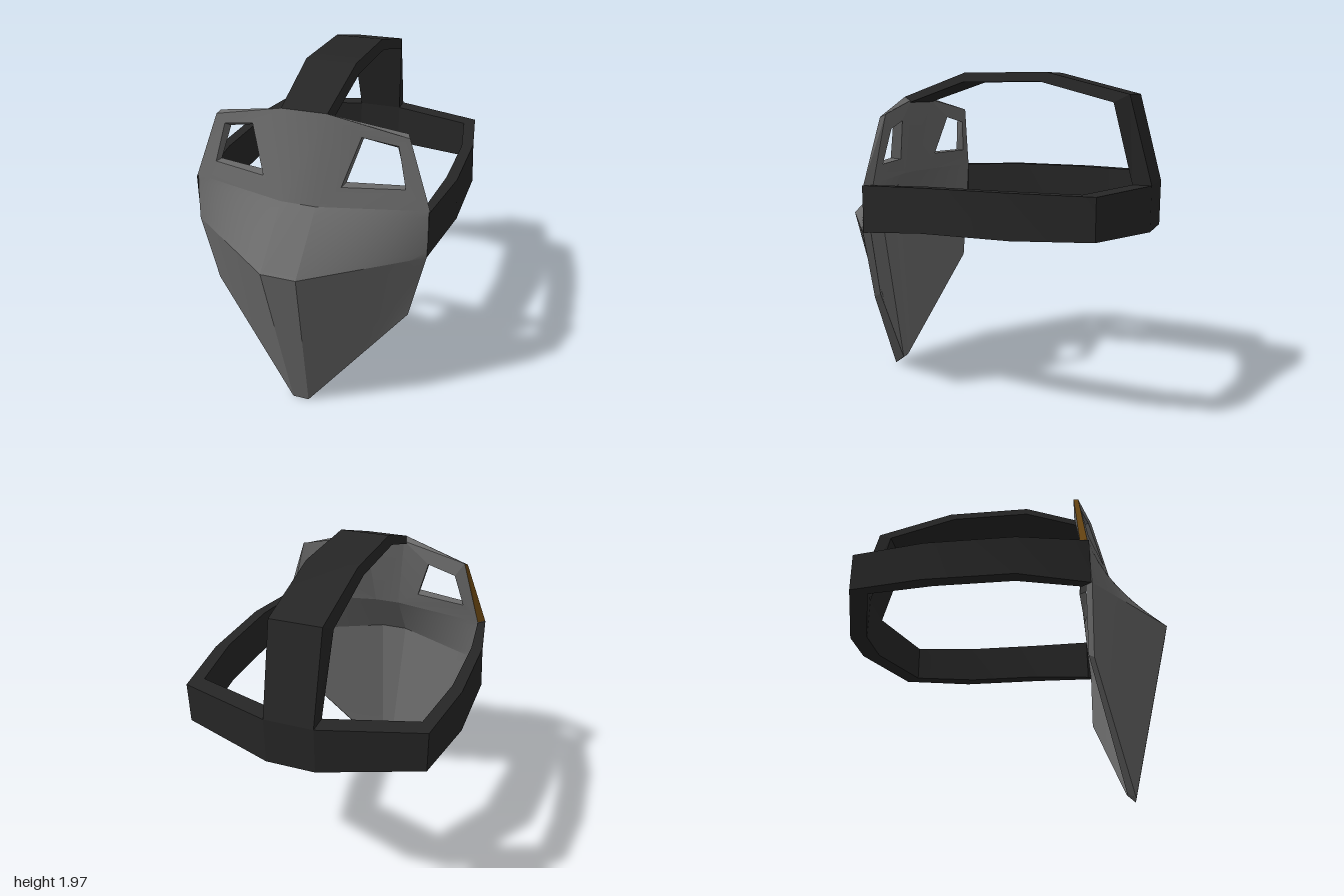
import * as THREE from 'three';
import { toCreasedNormals } from 'three/addons/utils/BufferGeometryUtils.js';

const mirror = ([x, y, z]) => [-x, y, z];
const lerp = (a, b, t) => a.map((v, i) => v + (b[i] - v) * t);

// Collects polygons (fan triangulated, counter-clockwise from outside)
class Faces {
  constructor() { this.pos = []; }
  add(...p) {
    for (let i = 1; i < p.length - 1; i++) this.pos.push(...p[0], ...p[i], ...p[i + 1]);
  }
  both(...p) {
    this.add(...p);
    this.add(...p.map(mirror).reverse());
  }
  // twisted four-sided panel a-b-c-d, divided so that it curves softly
  patch(a, b, c, d, n = 8) {
    const at = (u, v) => lerp(lerp(a, b, u / n), lerp(d, c, u / n), v / n);
    for (let i = 0; i < n; i++) {
      for (let j = 0; j < n; j++) this.both(at(i, j), at(i + 1, j), at(i + 1, j + 1), at(i, j + 1));
    }
  }
  mesh(name, color) {
    const g = new THREE.BufferGeometry();
    g.setAttribute('position', new THREE.Float32BufferAttribute(this.pos, 3));
    const m = new THREE.Mesh(toCreasedNormals(g, 0.25), new THREE.MeshStandardMaterial({ color }));
    m.name = name;
    return m;
  }
}

// Joins four-cornered cross-sections into a closed strap
function loft(name, sections, color) {
  const f = new Faces();
  for (let i = 0; i < sections.length - 1; i++) {
    const a = sections[i], b = sections[i + 1];
    for (let j = 0; j < 4; j++) {
      const k = (j + 1) % 4;
      f.add(a[j], a[k], b[k], b[j]);
    }
  }
  const s = sections[0];
  f.add(s[0], s[3], s[2], s[1]);
  f.add(...sections[sections.length - 1]);
  return f.mesh(name, color);
}

// Left half of the mask, outer and inner skins
const outer = {
  top: [0.13, 1.82, 0.575], temple: [0.555, 1.71, 0.5], cheek: [0.69, 1.33, 0.54],
  side: [0.69, 1.05, 0.555], jaw: [0.6, 0.64, 0.545], chin: [0.05, 0, 0.74],
  brow: [0.1, 1.33, 0.69], nose: [0.1, 1.05, 1],
};
const inner = {
  top: [0.13, 1.8, 0.53], temple: [0.54, 1.725, 0.472], cheek: [0.65, 1.33, 0.5],
  side: [0.66, 1.05, 0.52], jaw: [0.585, 0.66, 0.515], chin: [0.03, 0.04, 0.69],
  brow: [0.08, 1.33, 0.615], nose: [0.085, 1.05, 0.8],
};
const outerEye = [[0.225, 1.44], [0.555, 1.44], [0.5, 1.665], [0.31, 1.705]]
  .map(([x, y]) => [x, y, 0.69 - 0.254 * (x - 0.1) - 0.22 * (y - 1.33)]);
const innerEye = [[0.23, 1.437], [0.547, 1.437], [0.485, 1.638], [0.305, 1.678]]
  .map(([x, y]) => [x, y, 0.608 - 0.2 * (x - 0.08) - 0.19 * (y - 1.33)]);

function addSkin(f, p, eye, flip) {
  const turn = q => (flip ? q.reverse() : q);
  // upper panel as a ring around the eye opening
  const ring = [p.brow, p.cheek, p.temple, p.top];
  for (let j = 0; j < 4; j++) {
    const k = (j + 1) % 4;
    f.both(...turn([ring[j], ring[k], eye[k], eye[j]]));
  }
  // middle panel and lower panel
  f.patch(...turn([p.nose, p.side, p.cheek, p.brow]));
  f.patch(...turn([p.chin, p.jaw, p.side, p.nose]));
  // narrow centre strip
  const line = [p.chin, p.nose, p.brow, p.top];
  for (let i = 0; i < 3; i++) {
    f.add(...turn([mirror(line[i]), line[i], line[i + 1], mirror(line[i + 1])]));
  }
}

export function createModel() {
  const group = new THREE.Group();
  group.name = 'mask';
  const maskColor = 0x6a6a6a, strapColor = 0x262626;

  const shell = new Faces();
  addSkin(shell, outer, outerEye, false);
  addSkin(shell, inner, innerEye, true);

  // eye opening walls
  for (let j = 0; j < 4; j++) {
    const k = (j + 1) % 4;
    shell.both(outerEye[k], innerEye[k], innerEye[j], outerEye[j]);
  }

  // rim joining the skins; one right-hand temple edge has its own colour
  const accent = new Faces();
  const order = ['chin', 'jaw', 'side', 'cheek', 'temple', 'top'];
  for (let i = 0; i < 5; i++) {
    const a = order[i], b = order[i + 1];
    const q = [outer[a], inner[a], inner[b], outer[b]];
    shell.add(...q);
    (a === 'cheek' ? accent : shell).add(...q.map(mirror).reverse());
  }
  shell.add(outer.top, inner.top, mirror(inner.top), mirror(outer.top));
  shell.add(mirror(outer.chin), mirror(inner.chin), inner.chin, outer.chin);
  group.add(shell.mesh('maskShell', maskColor));
  group.add(accent.mesh('rightTempleEdge', 0x6b4712));

  // headband: outer x, z, inner x, z, bottom y, top y
  const half = [
    [0.69, 0.55, 0.65, 0.5, 1.05, 1.325],
    [0.77, 0.14, 0.69, 0.13, 1.09, 1.34],
    [0.77, -0.39, 0.69, -0.34, 1.09, 1.34],
    [0.69, -0.83, 0.63, -0.74, 1.1, 1.335],
    [0.14, -1, 0.14, -0.89, 1.07, 1.335],
  ].map(([ox, oz, ix, iz, y0, y1]) => [
    [ox - (ox > 0.7 ? 0.015 : 0), y1, oz], [ox, y0, oz], [ix, y0, iz], [ix, y1, iz],
  ]);
  const band = [...half, ...half.map(s => s.map(mirror)).reverse()];
  group.add(loft('headband', band, strapColor));

  // crown strap: outer z, y, half width, inner z, y, half width
  const crown = [
    [0.575, 1.82, 0.13, 0.53, 1.785, 0.15],
    [0.15, 1.965, 0.148, 0.15, 1.91, 0.168],
    [-0.37, 1.965, 0.148, -0.34, 1.91, 0.168],
    [-0.86, 1.84, 0.145, -0.775, 1.795, 0.168],
    [-1, 1.335, 0.14, -0.89, 1.335, 0.14],
  ].map(([oz, oy, ow, iz, iy, iw]) => [
    [ow, oy, oz], [iw, iy, iz], [-iw, iy, iz], [-ow, oy, oz],
  ]);
  group.add(loft('crownStrap', crown, strapColor));

  return group;
}
